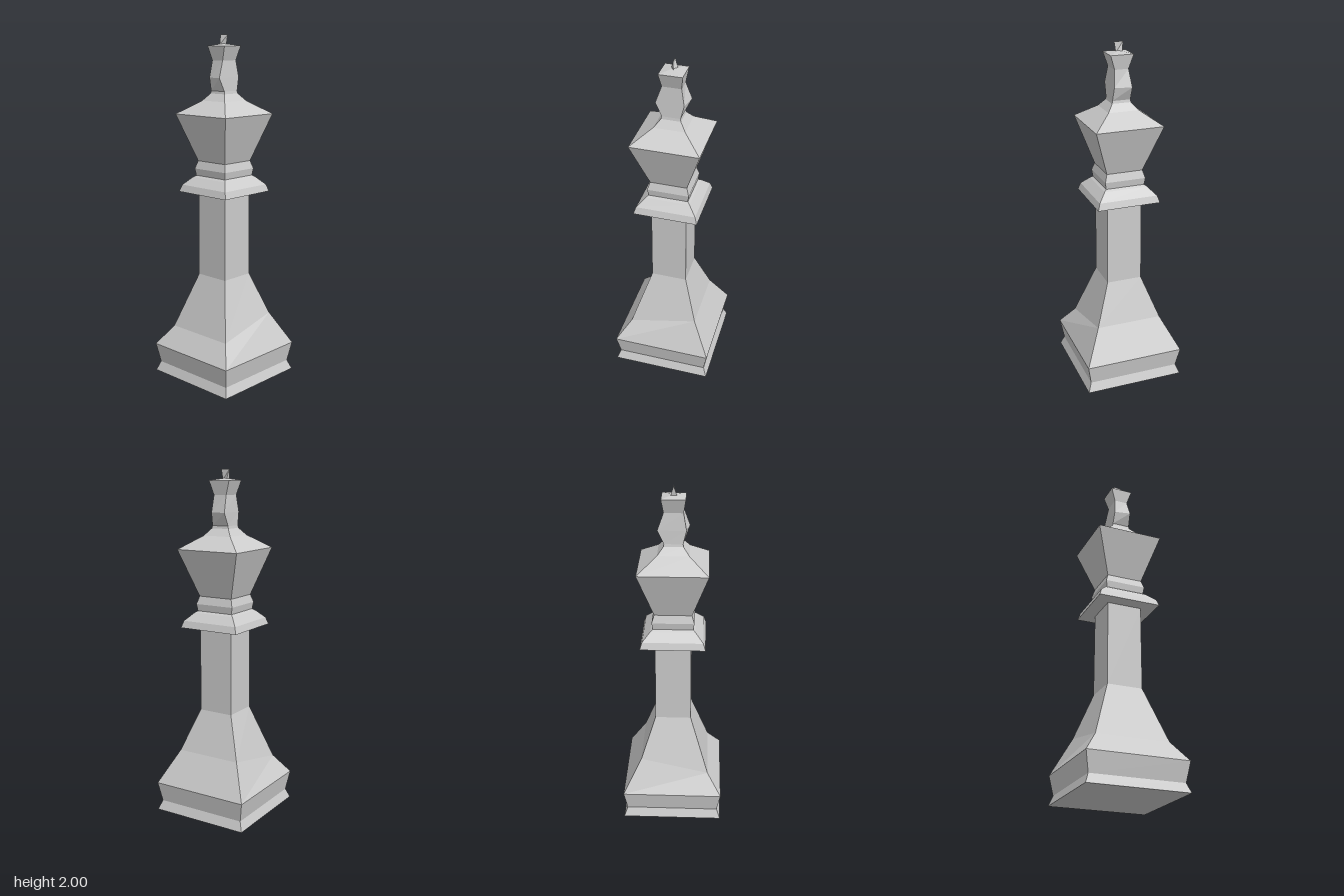
import * as THREE from 'three';

const material = new THREE.MeshStandardMaterial({ color: 0xcccccc, flatShading: true });

// Level ring: front right, back right, back left, front left corners
function square(y, hx, hz = hx) {
  return [[hx, y, hz], [hx, y, -hz], [-hx, y, -hz], [-hx, y, hz]];
}

// Faceted skin through a stack of rings, with optional end caps
function loft(name, rings, { bottom = false, top = false } = {}) {
  const pos = [];
  const tri = (a, b, c) => pos.push(...a, ...b, ...c);
  const n = rings[0].length;
  for (let r = 0; r < rings.length - 1; r++) {
    const lo = rings[r], hi = rings[r + 1];
    for (let i = 0; i < n; i++) {
      const j = (i + 1) % n;
      tri(lo[i], lo[j], hi[j]);
      tri(lo[i], hi[j], hi[i]);
    }
  }
  const first = rings[0], last = rings[rings.length - 1];
  for (let i = 1; i < n - 1; i++) {
    if (bottom) tri(first[0], first[i + 1], first[i]);
    if (top) tri(last[0], last[i], last[i + 1]);
  }
  const geometry = new THREE.BufferGeometry();
  geometry.setAttribute('position', new THREE.Float32BufferAttribute(pos, 3));
  geometry.computeVertexNormals();
  const mesh = new THREE.Mesh(geometry, material);
  mesh.name = name;
  return mesh;
}

export function createModel() {
  const group = new THREE.Group();
  group.name = 'chessKing';

  // Plinth with a pinched waist
  group.add(loft('plinth', [square(0, 0.293), square(0.055, 0.272), square(0.17, 0.293)], { bottom: true }));

  // Flared foot, its bend lower on one side
  const bend = [[0.188, 0.365, 0.195], [0.188, 0.365, -0.195], [-0.212, 0.285, -0.213], [-0.212, 0.285, 0.213]];
  group.add(loft('foot', [square(0.17, 0.293), bend, square(0.61, 0.105)]));

  group.add(loft('shaft', [square(0.61, 0.105), square(1.11, 0.103)]));

  // Overhanging collar and the stepped neck above it
  group.add(loft('collar', [
    square(1.11, 0.103), square(1.11, 0.185), square(1.15, 0.172), square(1.195, 0.128),
  ]));
  group.add(loft('neck', [
    square(1.195, 0.128), square(1.205, 0.114), square(1.245, 0.12), square(1.29, 0.106),
  ]));

  // Head widening to the brim, then sloping in to the finial
  group.add(loft('head', [
    square(1.29, 0.106), square(1.56, 0.196), square(1.635, 0.088), square(1.675, 0.055),
  ]));

  // Finial with a slightly twisted belly
  const belly = [[0.07, 1.765, 0.047], [0.088, 1.765, -0.05], [-0.07, 1.765, -0.047], [-0.088, 1.765, 0.047]];
  group.add(loft('finial', [
    square(1.675, 0.055), square(1.69, 0.052), belly, square(1.86, 0.054, 0.04),
    square(1.94, 0.066), square(1.952, 0.003),
  ], { top: true }));

  // Small wedge on top, its ridge running front to back
  group.add(loft('tip', [
    [[0.002, 1.94, 0.014], [0.018, 1.945, -0.019], [-0.019, 1.945, -0.017]],
    [[0.003, 2, 0.024], [0.001, 2, -0.027], [-0.001, 2, -0.027]],
  ], { top: true }));

  return group;
}
